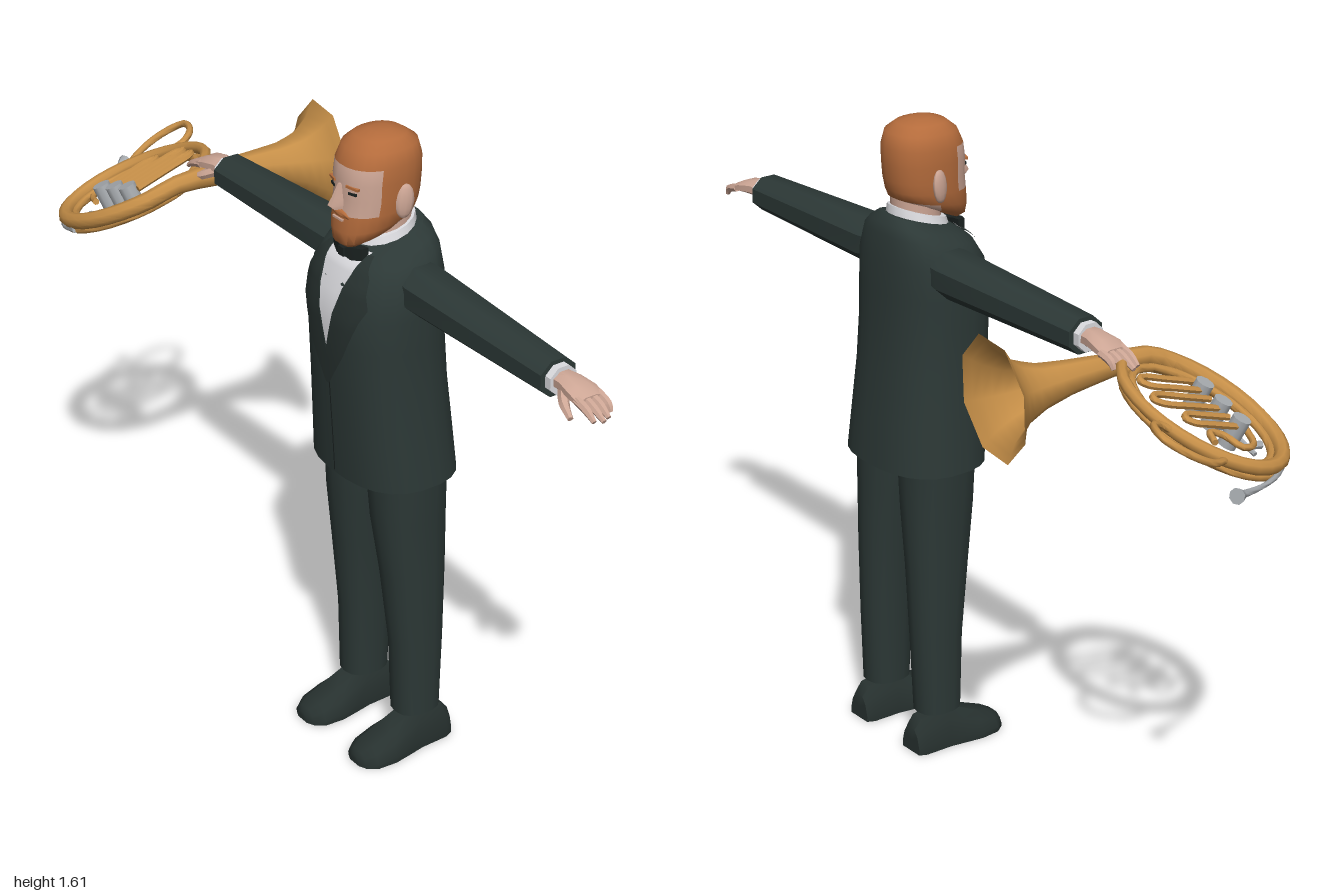
import * as THREE from 'three';
import { toCreasedNormals } from 'three/addons/utils/BufferGeometryUtils.js';

const V = (x, y, z) => new THREE.Vector3(x, y, z);
const CX = 0.2; // the figure stands off-centre to leave room for the horn

export function createModel() {
  const root = new THREE.Group();
  const mat = (name, color, side = THREE.FrontSide) => {
    const m = new THREE.MeshStandardMaterial({ color, side });
    m.name = name;
    return m;
  };
  const suit = mat('suit cloth', 0x2c3836);
  const lapelCloth = mat('lapel cloth', 0x27312f);
  const black = mat('black', 0x1b2221);
  const white = mat('shirt white', 0xdcdce0);
  const skin = mat('skin', 0xcda695);
  const hair = mat('ginger hair', 0xb56c3c);
  const brass = mat('brass', 0xc68f48, THREE.DoubleSide);
  const silver = mat('silver', 0xa6aaae);

  const add = (name, geo, m, parent = root) => {
    const mesh = new THREE.Mesh(geo, m);
    mesh.name = name;
    parent.add(mesh);
    return mesh;
  };
  const group = (name) => {
    const g = new THREE.Group();
    g.name = name;
    root.add(g);
    return g;
  };

  // Skin a list of rings; pick(row, column) chooses a material index
  function loft(rings, { capStart = true, capEnd = true, pick = () => 0, crease = 0.75 } = {}) {
    const n = rings[0].length, pos = [], lists = [];
    const tri = (k, a, b, c) => (lists[k] ??= []).push([a, b, c]);
    for (let i = 0; i < rings.length - 1; i++) for (let j = 0; j < n; j++) {
      const j2 = (j + 1) % n, k = pick(i, j);
      tri(k, rings[i][j], rings[i + 1][j], rings[i + 1][j2]);
      tri(k, rings[i][j], rings[i + 1][j2], rings[i][j2]);
    }
    const cap = (r, row, flip) => {
      const c = r.reduce((s, p) => s.add(p), V(0, 0, 0)).divideScalar(n);
      for (let j = 0; j < n; j++) {
        const p = r[j], q = r[(j + 1) % n];
        flip ? tri(pick(row, j), c, q, p) : tri(pick(row, j), c, p, q);
      }
    };
    if (capStart) cap(rings[0], 0, false);
    if (capEnd) cap(rings[rings.length - 1], rings.length - 2, true);
    // keep the faces pointing outwards on mirrored parts too
    let volume = 0;
    lists.flat().forEach(([a, b, c]) => { volume += a.dot(b.clone().cross(c)); });
    const geo = new THREE.BufferGeometry();
    lists.forEach((list, k) => {
      geo.addGroup(pos.length / 3, list.length * 3, k);
      list.forEach(([a, b, c]) => (volume < 0 ? [a, c, b] : [a, b, c]).forEach((p) => pos.push(p.x, p.y, p.z)));
    });
    geo.setAttribute('position', new THREE.Float32BufferAttribute(pos, 3));
    return toCreasedNormals(geo, crease);
  }

  // Upright rounded body: sections are [yFront, yBack, halfWidth, zFront, zBack]
  const pw = (v, n) => Math.sign(v) * Math.abs(v) ** (2 / n);
  const upright = (secs, cx, sides, n) => secs.map(([yf, yb, rx, zf, zb]) =>
    Array.from({ length: sides }, (_, j) => {
      const a = ((j + 0.5) / sides) * Math.PI * 2, s = pw(Math.sin(a), n);
      return V(cx + rx * pw(Math.cos(a), n), yb + (yf - yb) * (s + 1) / 2, (zf + zb) / 2 + s * (zf - zb) / 2);
    }));

  // Tube with a radius for each point
  function sweep(pts, radii, { sides = 8, sub = 3, capStart = true } = {}) {
    const curve = new THREE.CatmullRomCurve3(pts), last = pts.length - 1, rings = [];
    for (let i = 0; i <= last * sub; i++) {
      const u = i / (last * sub), f = Math.min(Math.floor(u * last), last - 1);
      const r = Array.isArray(radii) ? THREE.MathUtils.lerp(radii[f], radii[f + 1], u * last - f) : radii;
      const p = curve.getPoint(u), t = curve.getTangent(u);
      const up = V(0, 1, 0).addScaledVector(t, -t.y).normalize(), side = t.clone().cross(up);
      rings.push(Array.from({ length: sides }, (_, j) => {
        const a = ((j + 0.5) / sides) * Math.PI * 2;
        return p.clone().addScaledVector(up, r * Math.cos(a)).addScaledVector(side, r * Math.sin(a));
      }));
    }
    return loft(rings, { capStart, crease: 0.9 });
  }

  // Jacket
  const jacket = [
    [0.76, 0.76, 0.185, 0.15, -0.132], [0.88, 0.88, 0.177, 0.157, -0.12], [1.0, 1.0, 0.168, 0.165, -0.108],
    [1.12, 1.12, 0.165, 0.172, -0.1], [1.2, 1.2, 0.166, 0.173, -0.098], [1.27, 1.28, 0.162, 0.157, -0.096],
    [1.315, 1.345, 0.138, 0.132, -0.09], [1.33, 1.37, 0.112, 0.115, -0.084], [1.345, 1.39, 0.08, 0.095, -0.07]];
  const N = 2.5;
  add('jacket', loft(upright(jacket, CX, 24, N)), suit);

  // Plates laid on the jacket front: rows are [y, x0, x1] from the top down
  const sectionAt = (y) => {
    let i = 0;
    while (i < jacket.length - 2 && y > jacket[i + 1][0]) i++;
    const a = jacket[i], b = jacket[i + 1], t = THREE.MathUtils.clamp((y - a[0]) / (b[0] - a[0]), 0, 1);
    return a.map((v, k) => v + (b[k] - v) * t);
  };
  const frontZ = (x, y) => {
    let z = 0, yy = y;
    for (let k = 0; k < 3; k++) {
      const [yf, yb, rx, zf, zb] = sectionAt(yy);
      z = (zf + zb) / 2 + (zf - zb) / 2 * Math.max(0, 1 - Math.abs(x / rx) ** N) ** (1 / N);
      yy = y - (yb - yf) * (zf - z) / (zf - zb);
    }
    return z;
  };
  function drape(rows, lift) {
    const cols = 4, sub = 4, pos = [], idx = [], count = (rows.length - 1) * sub;
    for (let i = 0; i <= count; i++) {
      const f = Math.min(Math.floor(i / sub), rows.length - 2), t = i / sub - f;
      const [y, x0, x1] = rows[f].map((v, k) => v + (rows[f + 1][k] - v) * t);
      for (let j = 0; j <= cols; j++) {
        const x = x0 + (x1 - x0) * j / cols;
        pos.push(CX + x, y, frontZ(x, y) + lift);
        const a = i * (cols + 1) + j, c = a + cols + 1;
        if (i < count && j < cols) idx.push(a, c, a + 1, a + 1, c, c + 1);
      }
    }
    const geo = new THREE.BufferGeometry();
    geo.setAttribute('position', new THREE.Float32BufferAttribute(pos, 3));
    geo.setIndex(idx);
    geo.computeVertexNormals();
    return geo;
  }
  add('shirtFront', drape([[1.343, -0.06, 0.06], [1.3, -0.054, 0.054], [1.095, -0.001, 0.001]], 0.004), white);
  const lapel = [[1.34, 0.058, 0.072], [1.3, 0.052, 0.1], [1.235, 0.035, 0.118], [1.1, 0, 0.06], [1.01, 0, 0.006]];
  add('leftLapel', drape(lapel, 0.008), lapelCloth);
  add('rightLapel', drape(lapel.map(([y, a, b]) => [y, -b, -a]), 0.008), lapelCloth);
  add('jacketSeam', drape([[1.01, -0.002, 0.002], [0.77, -0.002, 0.002]], 0.003), black);

  // Shirt collar, bow tie, neck
  add('collar', loft(upright([[1.325, 1.37, 0.078, 0.1, -0.06], [1.362, 1.408, 0.068, 0.088, -0.056]], CX, 16, 2)), white);
  add('neck', loft(upright([[1.33, 1.36, 0.06, 0.075, -0.048], [1.46, 1.46, 0.06, 0.07, -0.048]], CX, 16, 2)), skin);
  const bow = group('bowTie');
  for (const s of [-1, 1]) {
    const wing = [[0.004, 0.009, 0.012], [0.03, 0.017, 0.013], [0.055, 0.02, 0.009]].map(([x, h, d]) =>
      [[-h, -d], [h, -d], [h, d], [-h, d]].map(([y, z]) => V(CX + s * x, 1.336 + y, 0.122 - x * 0.25 + z)));
    add('bowWing', loft(wing), black, bow);
  }
  add('bowKnot', new THREE.BoxGeometry(0.02, 0.022, 0.03), black, bow).position.set(CX, 1.336, 0.122);

  // Head with beard and hair
  const headRings = [
    [1.347, 1.405, 0.042, 0.128, 0.0], [1.36, 1.415, 0.064, 0.145, -0.03], [1.39, 1.425, 0.076, 0.147, -0.05],
    [1.432, 1.445, 0.081, 0.142, -0.058], [1.47, 1.47, 0.083, 0.137, -0.063], [1.51, 1.51, 0.085, 0.138, -0.066],
    [1.547, 1.55, 0.085, 0.132, -0.066], [1.582, 1.585, 0.077, 0.116, -0.056], [1.603, 1.603, 0.055, 0.09, -0.03],
    [1.612, 1.612, 0.022, 0.055, 0.005]];
  const headSides = 24;
  const headPick = (i, j) => {
    const f = Math.sin(((j + 1) / headSides) * Math.PI * 2);
    if (i < 2) return f > -0.2 ? 1 : 0;
    if (i === 2) return 1;
    return i < 6 && f > 0.3 ? 0 : 1;
  };
  const head = group('head');
  add('headShell', loft(upright(headRings, CX, headSides, 2.3), { pick: headPick, crease: 1 }), [skin, hair], head);
  const nose = [[1.446, 0.017, 0.158], [1.456, 0.017, 0.168], [1.475, 0.011, 0.158], [1.505, 0.008, 0.142]].map(([y, w, z]) =>
    [V(CX - w, y, 0.12), V(CX - w * 0.4, y, z), V(CX + w * 0.4, y, z), V(CX + w, y, 0.12)]);
  add('nose', loft(nose), skin, head);
  add('moustache', sweep([V(CX - 0.04, 1.423, 0.126), V(CX, 1.438, 0.142), V(CX + 0.04, 1.423, 0.126)], [0.005, 0.01, 0.005]), hair, head);
  add('mouth', new THREE.BoxGeometry(0.036, 0.005, 0.008), skin, head).position.set(CX, 1.421, 0.143);
  for (const s of [-1, 1]) {
    const ear = add('ear', new THREE.SphereGeometry(1, 10, 8), skin, head);
    ear.scale.set(0.011, 0.042, 0.023);
    ear.position.set(CX + s * 0.085, 1.462, 0.022);
    ear.rotation.set(-0.1, s * -0.25, 0);
    const eye = add('eye', new THREE.BoxGeometry(0.022, 0.006, 0.008), black, head);
    eye.position.set(CX + s * 0.036, 1.489, 0.129);
    eye.rotation.y = s * 0.3;
    const brow = add('eyebrow', new THREE.BoxGeometry(0.034, 0.006, 0.009), hair, head);
    brow.position.set(CX + s * 0.037, 1.504, 0.13);
    brow.rotation.set(0, s * 0.3, s * -0.08);
  }

  // Arms, hands, legs and shoes, mirrored
  const along = (secs, s, sides = 8) => secs.map(([x, y, z, ry, rz]) => Array.from({ length: sides }, (_, j) => {
    const a = ((j + 0.5) / sides) * Math.PI * 2;
    return V(CX + s * x, y + ry * 1.06 * Math.sin(a), z + rz * 1.06 * Math.cos(a));
  }));
  for (const s of [-1, 1]) {
    const side = s > 0 ? 'left' : 'right';
    const arm = group(side + 'Arm'), leg = group(side + 'Leg');
    add('sleeve', loft(along([[0.1, 1.27, 0.012, 0.05, 0.055], [0.16, 1.266, 0.012, 0.058, 0.064],
      [0.4, 1.262, 0.014, 0.051, 0.056], [0.632, 1.258, 0.016, 0.044, 0.049]], s)), suit, arm);
    add('cuff', loft(along([[0.6, 1.258, 0.016, 0.034, 0.036], [0.65, 1.258, 0.016, 0.034, 0.036]], s)), white, arm);
    add('palm', loft(along([[0.62, 1.258, 0.016, 0.022, 0.025], [0.67, 1.262, 0.014, 0.021, 0.031],
      [0.71, 1.257, 0.013, 0.017, 0.038], [0.74, 1.249, 0.012, 0.011, 0.037]], s)), skin, arm);
    [[-0.017, 0.77], [0.002, 0.787], [0.021, 0.795], [0.04, 0.785]].forEach(([z, end]) => add('finger',
      sweep([V(CX + s * 0.725, 1.252, z), V(CX + s * 0.76, 1.241, z), V(CX + s * end, 1.225, z)], [0.011, 0.01, 0.006], { sides: 6 }), skin, arm));
    add('thumb', sweep([V(CX + s * 0.67, 1.252, 0.03), V(CX + s * 0.7, 1.235, 0.053), V(CX + s * 0.735, 1.218, 0.064)],
      [0.014, 0.012, 0.007], { sides: 6 }), skin, arm);

    const trouser = [[0.1, 0.107, 0.05, 0.05, -0.07], [0.3, 0.104, 0.056, 0.056, -0.077], [0.5, 0.098, 0.064, 0.078, -0.083],
      [0.65, 0.089, 0.077, 0.096, -0.086], [0.74, 0.086, 0.086, 0.1, -0.086], [0.8, 0.086, 0.088, 0.1, -0.086]];
    add('trouser', loft(trouser.map(([y, x, rx, zf, zb]) => upright([[y, y, rx, zf, zb]], CX + s * x, 14, 2.4)[0])), suit, leg);
    const shoe = [[-0.095, 0.034, 0.065], [-0.075, 0.043, 0.09], [0, 0.045, 0.103], [0.04, 0.052, 0.09], [0.09, 0.06, 0.066],
      [0.14, 0.056, 0.046], [0.165, 0.038, 0.033], [0.174, 0.018, 0.022]].map(([z, w, h]) =>
      [[-1, 0], [-1.02, 0.25], [-0.8, 0.7], [-0.42, 1], [0.42, 1], [0.8, 0.7], [1.02, 0.25], [1, 0]].map(([a, b]) =>
        V(CX + s * 0.111 + a * w, b * h, z)));
    add('shoe', loft(shoe), lapelCloth, leg);
  }

  // Horn: its coil lies in a tilted plane
  const horn = group('horn');
  const P = (x, z, h = 0) => V(x, 1.14 + 0.37 * (x + 0.72) - 0.32 * (z - 0.12) + h, z);
  const coil = (t, k, h) => P(-0.717 + 0.192 * k * Math.cos(t), 0.115 + 0.172 * k * Math.sin(t), h);
  const bellPts = [V(-0.483, 1.195, -0.288), V(-0.487, 1.196, -0.262), V(-0.493, 1.198, -0.225), V(-0.502, 1.203, -0.17),
    V(-0.512, 1.21, -0.1), V(-0.522, 1.214, 0)];
  const bellRadii = [0.148, 0.108, 0.076, 0.053, 0.04, 0.029];
  for (let i = 0; i <= 14; i++) {
    bellPts.push(coil(i * 0.4, 1, 0));
    bellRadii.push(0.023 - i * 0.0007);
  }
  add('bellAndCoil', sweep(bellPts, bellRadii, { sub: 2, capStart: false }), brass, horn);
  const loop = (k, h) => Array.from({ length: 17 }, (_, i) => coil(i * Math.PI / 8, k, h));
  add('innerCoil', sweep(loop(0.87, -0.012), 0.01, { sub: 2 }), brass, horn);
  add('lowerCoil', sweep(loop(0.98, -0.025), 0.01, { sub: 2 }), brass, horn);
  add('rearLoop', sweep([P(-0.89, 0.03), P(-0.918, -0.03, 0.01), P(-0.912, -0.085, 0.02), P(-0.87, -0.128, 0.025),
    P(-0.81, -0.108, 0.015), P(-0.788, -0.07, 0.005), P(-0.81, -0.03)], 0.009), brass, horn);
  add('innerCrook', sweep([P(-0.77, 0.2), P(-0.825, 0.175), P(-0.84, 0.13), P(-0.8, 0.105), P(-0.795, 0.07), P(-0.83, 0.055)], 0.008), brass, horn);
  add('leadPipe', sweep([V(-0.985, 1.068, -0.02), V(-0.972, 1.06, 0.01), V(-0.945, 1.046, 0.09), V(-0.9, 1.036, 0.18),
    V(-0.82, 1.036, 0.265), V(-0.72, 1.065, 0.29)], [0.019, 0.009, 0.006, 0.007, 0.009, 0.01]), silver, horn);
  const normal = V(-0.37, 1, 0.32).normalize();
  [[-0.772, 0.025], [-0.71, -0.015], [-0.648, 0.0]].forEach(([x, back]) => {
    const valve = add('valve', new THREE.CylinderGeometry(0.023, 0.023, 0.075, 10), silver, horn);
    valve.position.copy(P(x, 0.165, -0.008));
    valve.quaternion.setFromUnitVectors(V(0, 1, 0), normal);
    add('valveSlide', sweep([[-0.016, 0.16], [-0.016, 0.08], [-0.015, back + 0.01], [0, back - 0.008], [0.015, back + 0.01],
      [0.016, 0.08], [0.016, 0.16]].map(([dx, z]) => P(x + dx, z, 0.015)), 0.008, { sides: 6 }), brass, horn);
    add('valveLever', sweep([P(x, 0.165, -0.04), P(x - 0.004, 0.2, -0.04), P(x - 0.008, 0.24, -0.03)], [0.006, 0.006, 0.01], { sides: 6 }), silver, horn);
  });
  add('leverBar', sweep([P(-0.81, 0.195, -0.035), P(-0.715, 0.195, -0.035), P(-0.62, 0.195, -0.035)], 0.006, { sides: 6 }), silver, horn);
  return root;
}
